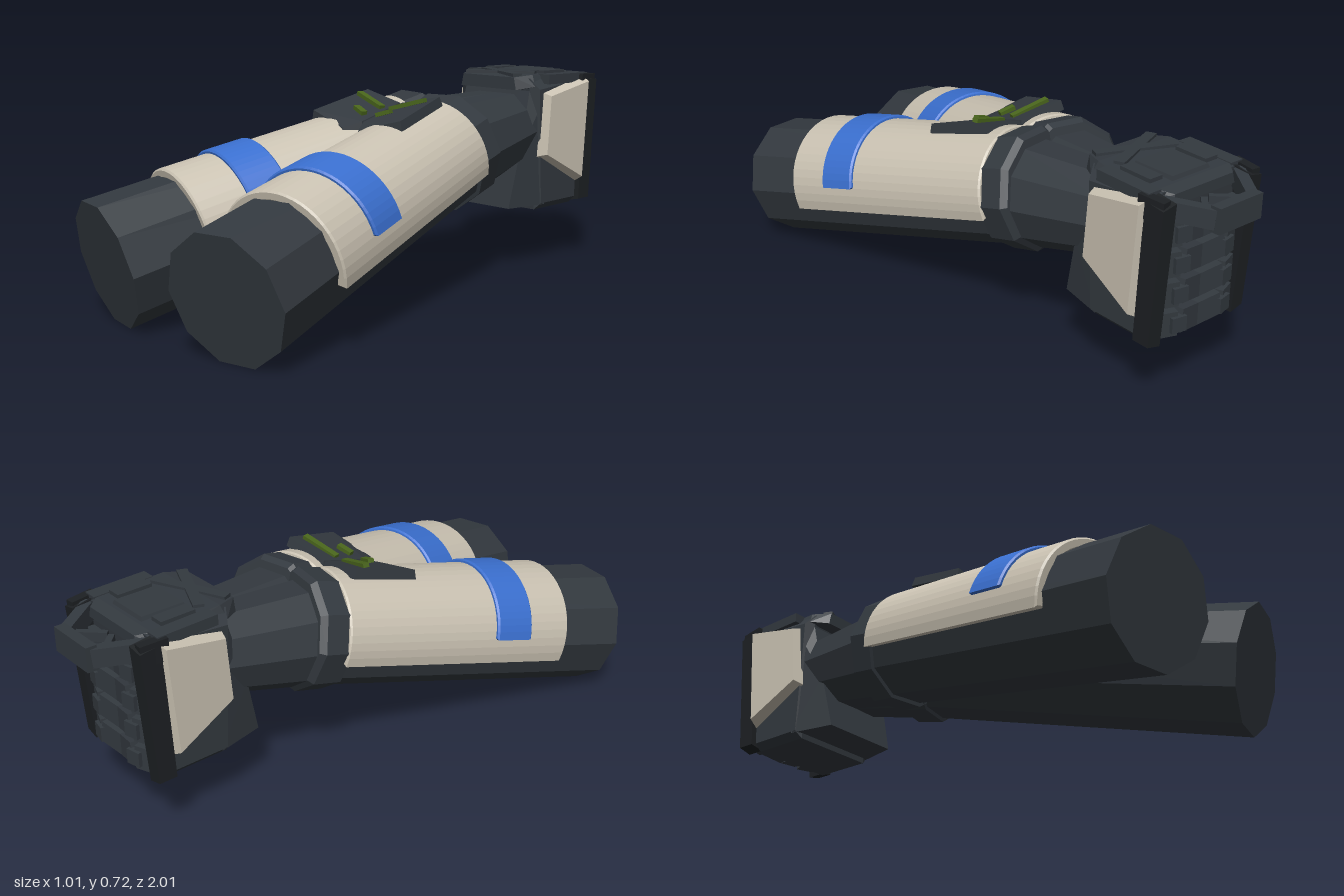
import * as THREE from 'three';
import { ConvexGeometry } from 'three/addons/geometries/ConvexGeometry.js';

const material = (color) => new THREE.MeshStandardMaterial({ color, flatShading: true });
const V = (p) => new THREE.Vector3(...p);

export function createModel() {
  const model = new THREE.Group();
  const dark = material(0x33393f), black = material(0x1d2023);
  const cream = material(0xcac2b2), blue = material(0x3a6fcf), green = material(0x4a661c);

  const add = (parent, name, geometry, mat) => {
    const mesh = new THREE.Mesh(geometry, mat);
    mesh.name = name;
    parent.add(mesh);
    return mesh;
  };
  // Solid hull of a few corner points, mirrored by s
  const hull = (name, points, mat, s = 1) =>
    add(model, name, new ConvexGeometry(points.map(([x, y, z]) => new THREE.Vector3(s * x, y, z))), mat);
  // Slab: an outline pushed along an offset, its far side shrunk for a chamfer
  const slab = (name, outline, offset, shrink, mat, s = 1) => {
    const mid = [0, 1, 2].map((i) => outline.reduce((sum, p) => sum + p[i], 0) / outline.length);
    const far = outline.map((p) => p.map((v, i) => mid[i] + (v - mid[i]) * shrink + offset[i]));
    return hull(name, [...outline, ...far], mat, s);
  };
  // Box bar between two points
  const beam = (name, a, b, w, h, mat, s = 1) => {
    const from = V([s * a[0], a[1], a[2]]), to = V([s * b[0], b[1], b[2]]);
    const mesh = add(model, name, new THREE.BoxGeometry(w, h, from.distanceTo(to)), mat);
    mesh.position.copy(from).lerp(to, 0.5);
    mesh.lookAt(to);
    return mesh;
  };
  // Ten-sided tube along local z, from z0 (front) back to z1
  const tube = (r0, r1, z0, z1) =>
    new THREE.CylinderGeometry(r0, r1, z0 - z1, 10).rotateY(Math.PI / 10)
      .rotateX(Math.PI / 2).translate(0, 0, (z0 + z1) / 2);
  // Curved shell over the arm, narrowing towards the wrist
  const shell = (inner, outer, startDeg, z0, z1) => {
    const a = THREE.MathUtils.degToRad(startDeg), b = Math.PI - a, bevel = 0.006;
    const shape = new THREE.Shape();
    shape.absarc(0, 0, outer - bevel, a, b, false);
    shape.absarc(0, 0, inner, b, a, true);
    const g = new THREE.ExtrudeGeometry(shape, {
      depth: z0 - z1 - 2 * bevel, curveSegments: 14,
      bevelSize: bevel, bevelThickness: bevel, bevelSegments: 1,
    }).translate(0, 0, z1 + bevel);
    const p = g.attributes.position;
    for (let i = 0; i < p.count; i++) {
      const k = 1 + 0.11 * p.getZ(i);
      p.setXY(i, p.getX(i) * k, p.getY(i) * k);
    }
    g.computeVertexNormals();
    return g;
  };

  for (const s of [1, -1]) {
    const side = s > 0 ? 'left' : 'right';
    // Forearm, pitched up and turned in towards the joined hands
    const arm = new THREE.Group();
    arm.name = side + 'Forearm';
    arm.position.set(s * 0.295, 0.2, 0.95);
    arm.rotation.set(THREE.MathUtils.degToRad(13), s * THREE.MathUtils.degToRad(11), 0, 'YXZ');
    model.add(arm);
    add(arm, 'sleeve', tube(0.212, 0.185, 0, -1.2), dark);
    add(arm, 'armCover', shell(0.205, 0.233, -12, -0.26, -1.15), cream);
    add(arm, 'armBand', shell(0.225, 0.246, 11, -0.43, -0.575), blue);
    add(arm, 'wristRing', tube(0.2, 0.204, -1.13, -1.23), dark);
    add(arm, 'wristRingLip', tube(0.204, 0.188, -1.23, -1.25), dark);

    // Wrist narrowing into the fist
    const a = V([s * 0.075, 0.46, -0.2]), b = V([s * 0.035, 0.512, -0.6]);
    const wrist = add(model, side + 'Wrist', tube(0.135, 0.178, a.distanceTo(b) / 2, -a.distanceTo(b) / 2), dark);
    wrist.position.copy(a).lerp(b, 0.5);
    wrist.lookAt(b);

    // Angled plate on top of the forearms with its lights
    slab(side + 'ControlPlate',
      [[0, 0.61, -0.06], [0.175, 0.645, -0.07], [0.213, 0.585, 0.165], [0.035, 0.54, 0.19], [0, 0.56, 0.13]],
      [0, 0.034, 0.004], 0.95, dark, s);
    beam('longLight', [0.02, 0.631, 0.02], [0.155, 0.668, -0.005], 0.022, 0.014, green, s);
    beam('shortLight', [0.03, 0.617, 0.095], [0.082, 0.633, 0.082], 0.022, 0.014, green, s);

    // Cream guard on the back of the hand
    slab(side + 'HandGuard',
      [[0.175, 0.65, -0.6], [0.185, 0.695, -0.835], [0.185, 0.3, -0.805], [0.175, 0.415, -0.58]],
      [0.04, 0, 0], 0.9, cream, s);
    // Knuckle bar behind the guard
    slab(side + 'KnuckleBar',
      [[0.155, 0.7, -0.825], [0.155, 0.69, -0.9], [0.155, 0.22, -0.865], [0.155, 0.22, -0.8]],
      [0.05, 0, 0], 0.95, black, s);

    // Fingers, four rows of two joints
    for (let i = 0; i < 4; i++) {
      const y = 0.28 + i * 0.098;
      beam('outerFinger', [0.18, y, -0.81], [0.085, y, -0.845], 0.07, 0.08, dark, s);
      beam('innerFinger', [0.09, y + 0.006, -0.845], [0, y - 0.008, -0.83], 0.075, 0.075, dark, s);
      beam('knuckle', [0.12, y, -0.865], [0.07, y, -0.875], 0.035, 0.05, dark, s);
    }
    // Thumb frame standing out at the top
    beam('thumbStrut', [0.17, 0.665, -0.835], [0.075, 0.65, -0.975], 0.035, 0.06, dark, s);
    beam('thumbJoint', [0.195, 0.67, -0.8], [0.185, 0.665, -0.89], 0.03, 0.07, black, s);
    beam('thumbBrace', [0.08, 0.645, -0.94], [0.01, 0.645, -0.87], 0.02, 0.03, dark, s);

    // Raised strips on top of the fist
    beam('crossStrip', [-0.12, 0.708, -0.53], [0.12, 0.71, -0.635], 0.035, 0.02, dark, s);
    beam('topStrip', [0.115, 0.712, -0.66], [0.115, 0.71, -0.78], 0.05, 0.018, dark, s);
    beam('topEdge', [0.17, 0.695, -0.62], [0.17, 0.69, -0.83], 0.05, 0.035, dark, s);
  }

  const both = (points) => [...points, ...points.map(([x, y, z]) => [-x, y, z])];
  // Joined fists: heel, palm block and top cover
  hull('handHeel', both([[0.15, 0.235, -0.455], [0.16, 0.43, -0.5], [0.15, 0.68, -0.57],
    [0.185, 0.235, -0.62], [0.185, 0.66, -0.63]]), dark);
  hull('fist', both([[0.16, 0.215, -0.59], [0.185, 0.24, -0.6], [0.185, 0.66, -0.58], [0.15, 0.7, -0.56],
    [0.16, 0.215, -0.8], [0.185, 0.24, -0.81], [0.185, 0.68, -0.82], [0.15, 0.7, -0.84]]), dark);
  hull('fistTop', both([[0.13, 0.66, -0.51], [0.12, 0.705, -0.51], [0.17, 0.67, -0.57], [0.15, 0.712, -0.58],
    [0.17, 0.67, -0.82], [0.15, 0.705, -0.82], [0.13, 0.66, -0.86], [0.12, 0.695, -0.86]]), dark);
  slab('topPanel', [[-0.08, 0.7, -0.65], [0.08, 0.7, -0.65], [0.08, 0.7, -0.81], [-0.08, 0.7, -0.81]],
    [0, 0.018, 0], 0.92, dark);
  beam('thumbBar', [-0.088, 0.65, -0.982], [0.088, 0.65, -0.982], 0.036, 0.08, dark);

  return model;
}
